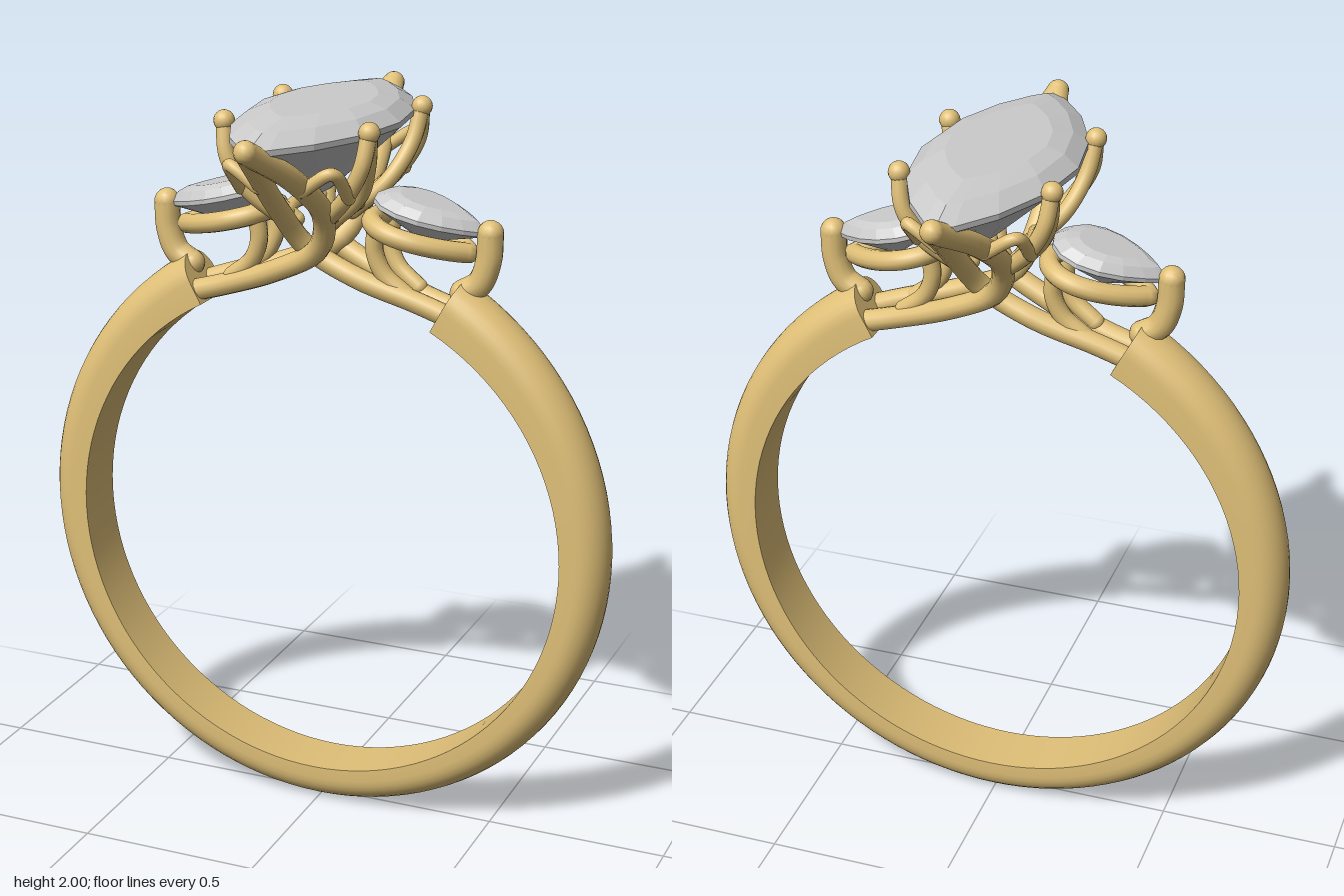
import * as THREE from 'three';
import { toCreasedNormals } from 'three/addons/utils/BufferGeometryUtils.js';

const gold = new THREE.MeshStandardMaterial({ color: 0xe0c078 });
const gem = new THREE.MeshStandardMaterial({ color: 0xcccccc, flatShading: true });
const V = (x, y, z) => new THREE.Vector3(x, y, z);

// Skin closed cross-sections (equal point counts) and cap both ends.
function loft(rings) {
  const n = rings[0].length, last = (rings.length - 1) * n, index = [];
  for (let i = 0; i < rings.length - 1; i++) {
    for (let j = 0; j < n; j++) {
      const k = (j + 1) % n, a = i * n, b = a + n;
      index.push(a + j, a + k, b + k, a + j, b + k, b + j);
    }
  }
  for (let j = 1; j < n - 1; j++) {
    index.push(0, j + 1, j, last, last + j, last + j + 1);
  }
  const g = new THREE.BufferGeometry().setFromPoints(rings.flat());
  g.setIndex(index);
  return g;
}

function mesh(parent, name, geometry, material = gold) {
  const m = new THREE.Mesh(geometry, material);
  m.name = name;
  parent.add(m);
  return m;
}

// Round wire through a few points, with ball ends.
function wire(parent, name, points, r) {
  const g = new THREE.Group();
  g.name = name;
  const curve = new THREE.CatmullRomCurve3(points);
  mesh(g, 'wire', new THREE.TubeGeometry(curve, 32, r, 12));
  for (const p of [points[0], points[points.length - 1]]) {
    mesh(g, 'wireEnd', new THREE.SphereGeometry(r, 14, 10)).position.copy(p);
  }
  parent.add(g);
}

// Open band: flat inside, rounded outside, thicker towards the shoulders.
function band() {
  const rings = [], steps = 96, span = THREE.MathUtils.degToRad(152);
  for (let i = 0; i <= steps; i++) {
    const f = (i / steps) * 2 - 1, a = -Math.PI / 2 + f * span;
    const t = 0.108 + 0.034 * Math.abs(f) ** 2.5;
    const section = [[0.7, 0.08]];
    for (let j = 0; j <= 14; j++) {
      const b = (j / 14) * Math.PI;
      section.push([0.7 + t - 0.075 + 0.075 * Math.sin(b), 0.08 * Math.cos(b)]);
    }
    section.push([0.7, -0.08]);
    rings.push(section.map(([r, z]) => V(r * Math.cos(a), 0.81 + r * Math.sin(a), z)));
  }
  return toCreasedNormals(loft(rings), 0.6);
}

// Outlines, given an angle.
const marquise = (a) => {
  const s = Math.sin(a);
  return [0.21 * Math.sign(s) * Math.abs(s) ** 1.75, 0.475 * Math.cos(a)];
};
const pear = (a) => [0.155 * Math.cos(a), -0.137 * Math.sin(a) * Math.sin(a / 2) ** 0.8];

// Faceted stone: levels are [y, x scale, z scale, angle shift], bottom to top.
function stone(outline, n, levels) {
  const rings = levels.map(([y, sx, sz, shift]) => Array.from({ length: n }, (_, j) => {
    const [x, z] = outline(((j + shift) / n) * Math.PI * 2);
    return V(x * sx, y, z * sz);
  }));
  return loft(rings);
}

export function createModel() {
  const model = new THREE.Group();
  model.name = 'ring';
  mesh(model, 'band', band());

  // Large centre stone
  mesh(model, 'centreStone', stone(marquise, 16, [
    [1.76, 0.06, 0.16, 0], [1.85, 0.55, 0.52, 0], [1.938, 1, 1, 0],
    [1.953, 1, 1, 0], [1.984, 0.82, 0.82, 0], [2.0, 0.6, 0.56, 0],
  ]), gem);

  // Crossing strands rise from the shoulders into the two end prongs
  for (const s of [1, -1]) {
    wire(model, 'endProngOuterStrand', [
      V(-0.37 * s, 1.455, 0.045 * s), V(-0.27 * s, 1.485, 0.05 * s), V(-0.11 * s, 1.545, 0.07 * s),
      V(0.02 * s, 1.62, 0.095 * s), V(0.065 * s, 1.73, 0.16 * s), V(0.05 * s, 1.85, 0.31 * s),
      V(0, 1.955, 0.49 * s),
    ], 0.03);
    wire(model, 'endProngInnerStrand', [
      V(0.38 * s, 1.46, 0.045 * s), V(0.28 * s, 1.495, 0.05 * s), V(0.12 * s, 1.545, 0.06 * s),
      V(-0.02 * s, 1.615, 0.065 * s), V(-0.06 * s, 1.73, 0.155 * s), V(-0.045 * s, 1.85, 0.31 * s),
      V(0, 1.955, 0.49 * s),
    ], 0.029);
  }

  // Four split side prongs and the little gallery struts
  for (const x of [1, -1]) {
    for (const z of [1, -1]) {
      const tip = V(0.2 * x, 1.96, 0.185 * z);
      wire(model, 'sideProngOuterStrand', [
        tip, V(0.185 * x, 1.87, 0.2 * z), V(0.135 * x, 1.785, 0.185 * z), V(0.06 * x, 1.71, 0.14 * z),
      ], 0.022);
      wire(model, 'sideProngInnerStrand', [
        tip, V(0.185 * x, 1.87, 0.155 * z), V(0.14 * x, 1.775, 0.1 * z), V(0.05 * x, 1.69, 0.07 * z),
      ], 0.022);
      mesh(model, 'sideProngTip', new THREE.SphereGeometry(0.028, 16, 12)).position.copy(tip);
      wire(model, 'galleryStrut', [
        V(0.06 * x, 1.82, 0.29 * z), V(0.14 * x, 1.87, 0.285 * z), V(0.15 * x, 1.79, 0.195 * z),
      ], 0.017);
    }
  }
  // Rails that join the side prongs below the stone
  for (const x of [1, -1]) {
    wire(model, 'galleryRail', [
      V(0.06 * x, 1.71, 0.12), V(0.08 * x, 1.72, 0), V(0.06 * x, 1.71, -0.12),
    ], 0.018);
  }

  // Tilted pear stones on the shoulders
  for (const s of [1, -1]) {
    const side = new THREE.Group();
    side.name = s > 0 ? 'leftShoulder' : 'rightShoulder';
    side.rotation.y = s > 0 ? 0 : Math.PI;

    const seat = new THREE.Group();
    seat.name = 'pearSetting';
    seat.position.set(0.3, 1.725, 0);
    seat.rotation.z = -0.26;
    mesh(seat, 'pearStone', stone(pear, 16, [
      [-0.075, 0.1, 0.1, 0], [-0.012, 1, 1, 0], [0, 1, 1, 0], [0.022, 0.82, 0.82, 0], [0.032, 0.6, 0.6, 0],
    ]), gem);
    const loop = Array.from({ length: 16 }, (_, j) => {
      const [x, z] = pear((j / 16) * Math.PI * 2);
      return V(x * 0.88 - 0.01, -0.066, z * 0.85);
    });
    const railCurve = new THREE.CatmullRomCurve3(loop, true);
    mesh(seat, 'pearRail', new THREE.TubeGeometry(railCurve, 64, 0.027, 12, true));
    side.add(seat);

    wire(side, 'pearTipProng', [
      V(0.39, 1.52, 0), V(0.435, 1.55, 0), V(0.458, 1.61, 0), V(0.462, 1.685, 0),
    ], 0.035);
    for (const z of [1, -1]) {
      wire(side, 'pearInnerSupport', [
        V(0.17, 1.69, 0.06 * z), V(0.165, 1.62, 0.055 * z), V(0.19, 1.56, 0.05 * z), V(0.25, 1.51, 0.045 * z),
      ], 0.024);
    }
    model.add(side);
  }
  return model;
}
